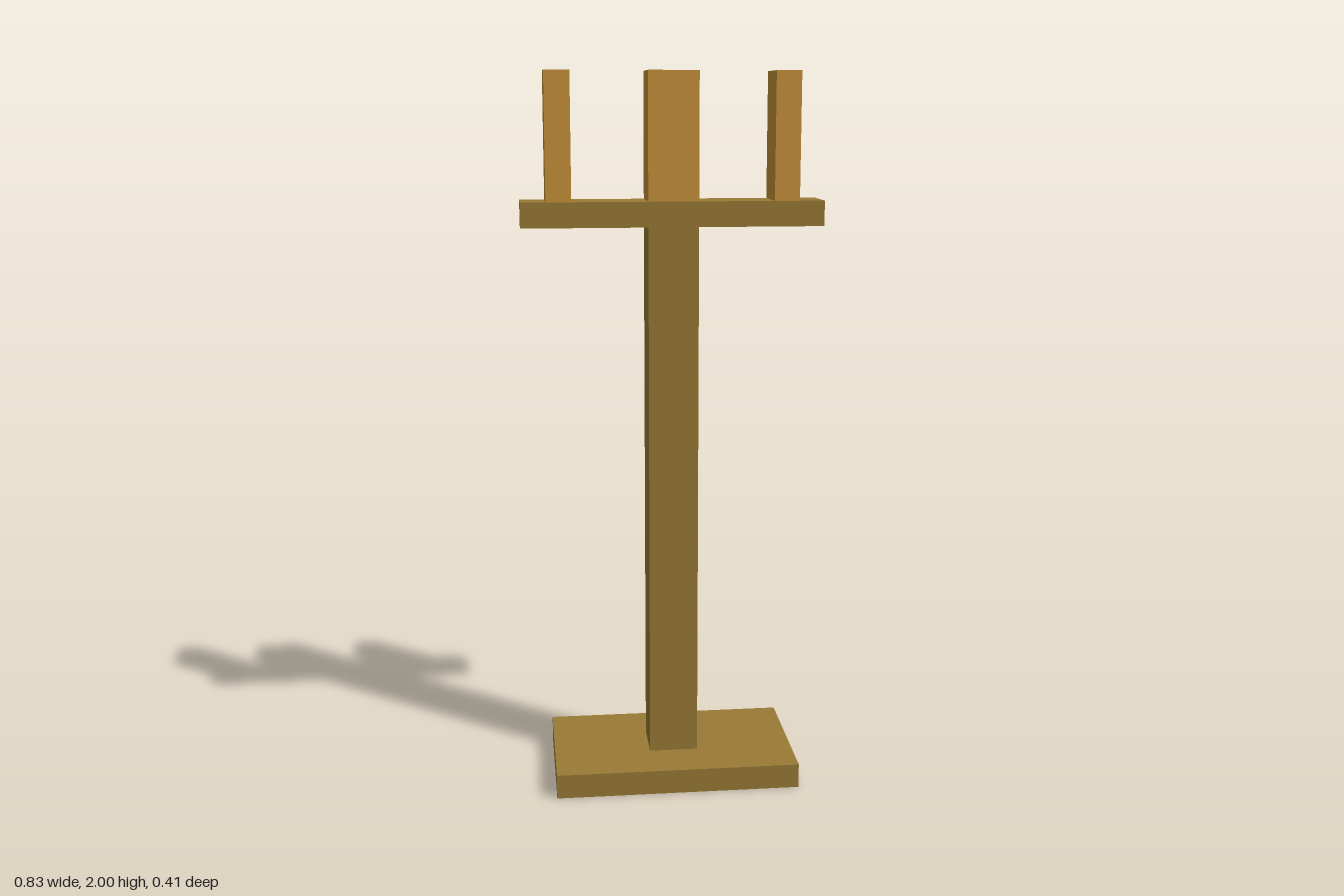
import * as THREE from 'three';

const U = 2 / 29; // grid unit: the stand is 29 units tall

const darkWood = new THREE.MeshStandardMaterial({ color: 0x9a7b35, side: THREE.DoubleSide });
darkWood.name = 'dark wood';
const lightWood = new THREE.MeshStandardMaterial({ color: 0xc9933b });
lightWood.name = 'light wood';

// Box given in units, standing on height y
function block(name, material, w, h, d, x, y) {
  const mesh = new THREE.Mesh(new THREE.BoxGeometry(w * U, h * U, d * U), material);
  mesh.position.set(x * U, (y + h / 2) * U, 0);
  mesh.name = name;
  return mesh;
}

export function createModel() {
  const model = new THREE.Group();
  model.name = 'prongedStand';

  // Base slab, hollow and open underneath
  const base = block('base', darkWood, 10, 1, 6, 0, 0);
  const index = Array.from(base.geometry.index.array);
  index.splice(18, 6); // drop the bottom face
  base.geometry.setIndex(index);
  base.geometry.clearGroups();
  model.add(base);

  // Post and crossbar
  model.add(block('post', darkWood, 2, 22, 2, 0, 1));
  model.add(block('crossbar', darkWood, 12, 1, 2, 0, 23));

  // Three upright prongs, the middle one thicker
  model.add(block('middleProng', lightWood, 2, 5, 2, 0, 24));
  for (const side of [-1, 1]) {
    model.add(block(side > 0 ? 'leftProng' : 'rightProng', lightWood, 1, 5, 2, side * 4.5, 24));
  }

  return model;
}
